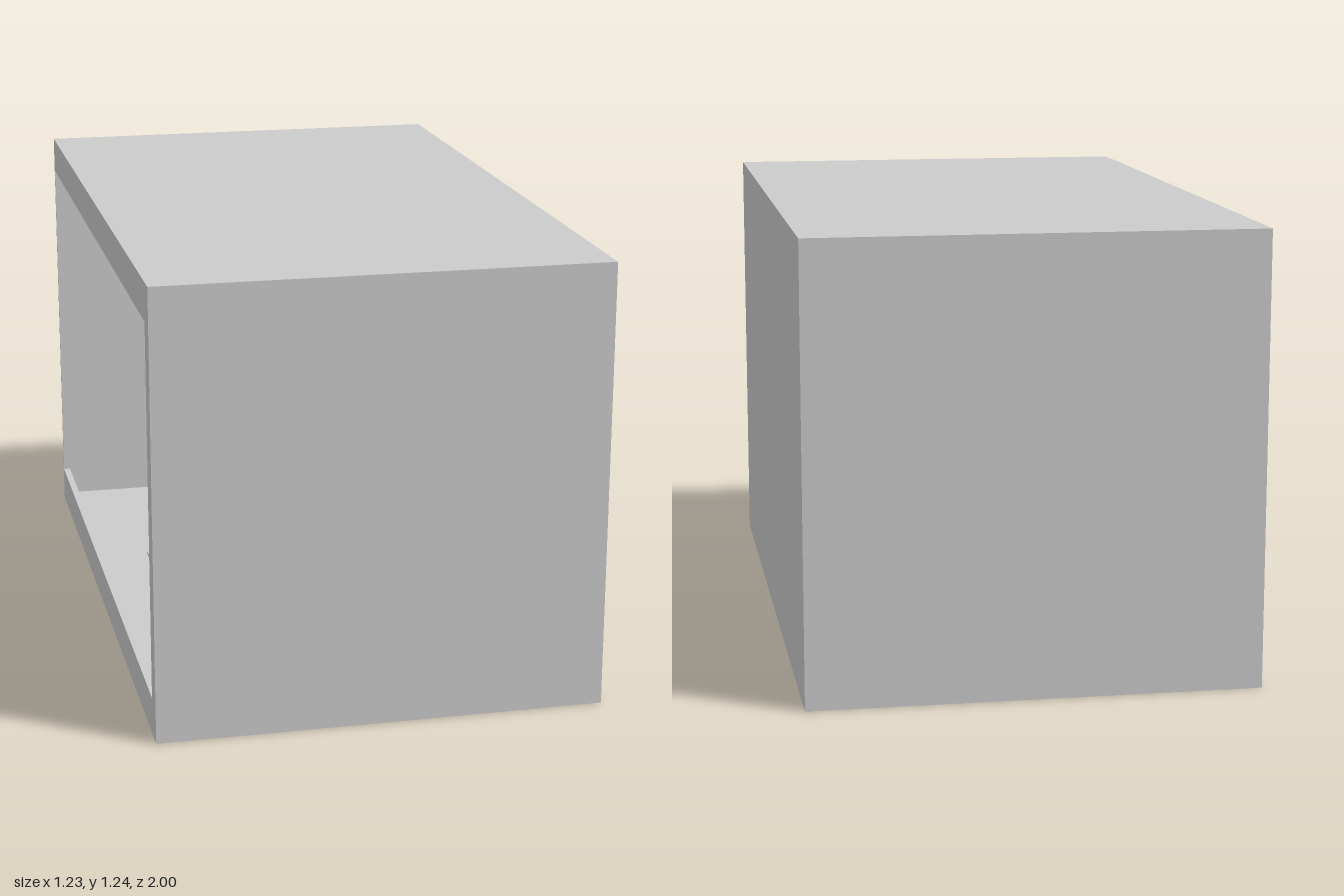
import * as THREE from 'three';

const W = 1.23, H = 1.24, D = 2;
const X = W / 2, Z = D / 2;
const T = 0.02;       // sheet thickness of floor, ceiling and sides
const FRONT = 0.03;   // front wall
const BACK = 0.006;   // back sheet
const RIM = 0.105;    // height of the rims above and below the side opening
const POST = 0.06;    // width of the post in front of the side opening

export function createModel() {
  const group = new THREE.Group();
  const material = new THREE.MeshStandardMaterial({ color: 0xcccccc, flatShading: true });

  // Box given by its lower and upper limits on each axis
  const slab = (name, [x0, x1], [y0, y1], [z0, z1]) => {
    const mesh = new THREE.Mesh(new THREE.BoxGeometry(x1 - x0, y1 - y0, z1 - z0), material);
    mesh.position.set((x0 + x1) / 2, (y0 + y1) / 2, (z0 + z1) / 2);
    mesh.name = name;
    group.add(mesh);
  };

  // Thin shell
  const inner = [T, H - T];
  slab('floor', [-X, X], [0, T], [-Z, Z]);
  slab('ceiling', [-X, X], [H - T, H], [-Z, Z]);
  slab('leftWall', [X - T, X], inner, [-Z, Z]);
  slab('frontWall', [-X, X - T], inner, [Z - FRONT, Z]);
  slab('backSheet', [-X, X - T], inner, [-Z, -Z + BACK]);

  // Rims and post around the opening on the right-hand side (-x)
  const side = [-X, -X + T];
  slab('lowerRim', side, [T, RIM], [-Z + BACK, Z - FRONT]);
  slab('upperRim', side, [H - RIM, H - T], [-Z + BACK, Z - FRONT]);
  slab('frontPost', side, [RIM, H - RIM], [Z - POST, Z - FRONT]);

  // Raised panels on the inside of the front and left walls
  slab('innerFrontPanel', [-0.565, 0.545], [0.075, H - 0.075], [0.92, Z - FRONT]);
  slab('innerSidePanel', [X - T - 0.01, X - T], [0.095, H - 0.095], [-0.85, 0.85]);

  // Plate on the floor
  slab('floorPlate', [-0.43, -0.125], [T, T + 0.008], [-0.36, 0.045]);

  return group;
}
